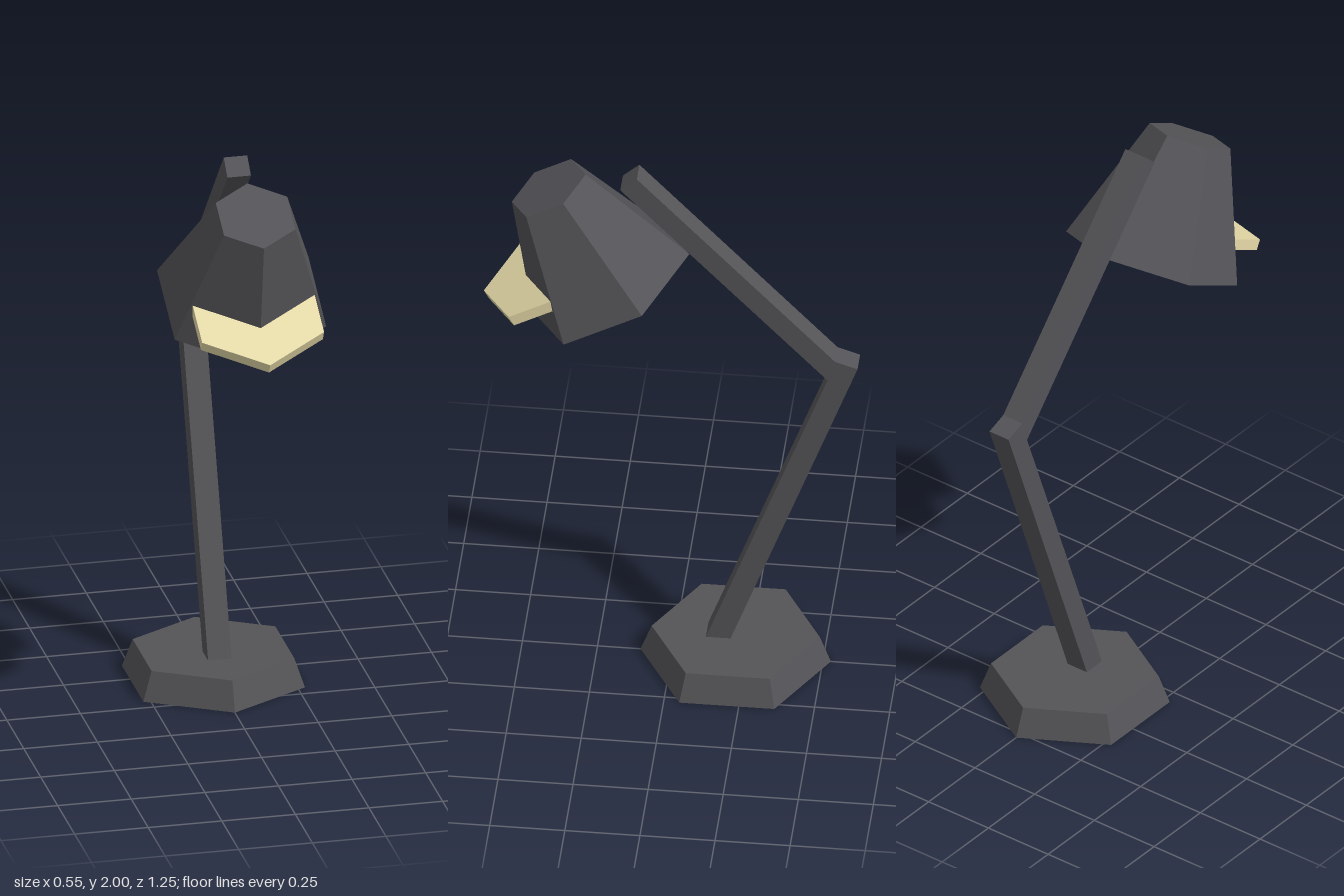
import * as THREE from 'three';

const darkMetal = new THREE.MeshStandardMaterial({ name: 'darkMetal', color: 0x545458, flatShading: true });
const paleLight = new THREE.MeshStandardMaterial({ name: 'paleLight', color: 0xe6daa8, flatShading: true });

const SHADE_TILT = 0.5;

// Six-sided frustum with corners pointing along z
function hexagon(name, topRadius, bottomRadius, height, material) {
  const mesh = new THREE.Mesh(new THREE.CylinderGeometry(topRadius, bottomRadius, height, 6), material);
  mesh.name = name;
  return mesh;
}

export function createModel() {
  const lamp = new THREE.Group();
  lamp.name = 'deskLamp';

  // Weighted foot
  const base = hexagon('base', 0.28, 0.317, 0.1, darkMetal);
  base.position.set(0, 0.05, -0.21);
  lamp.add(base);

  // Bent arm: side profile as (z, y), extruded across x
  const profile = [
    [-0.115, 0.1], [-0.52, 1.21], [0.17, 1.95], [0.115, 2.0],
    [-0.545, 1.29], [-0.62, 1.265], [-0.197, 0.1],
  ].map(([z, y]) => new THREE.Vector2(-z, y));
  const armGeometry = new THREE.ExtrudeGeometry(new THREE.Shape(profile), { depth: 0.08, bevelEnabled: false });
  armGeometry.translate(0, 0, -0.04).rotateY(Math.PI / 2);
  const arm = new THREE.Mesh(armGeometry, darkMetal);
  arm.name = 'arm';
  lamp.add(arm);

  // Tilted head: shade with a light plate reaching out of its front
  const head = new THREE.Group();
  head.name = 'head';
  head.position.set(0, 1.5275, 0.205);
  head.rotation.x = SHADE_TILT;
  const shade = hexagon('shade', 0.14, 0.297, 0.433, darkMetal);
  shade.position.y = 0.2165;
  const plate = hexagon('lightPlate', 0.239, 0.239, 0.038, paleLight);
  plate.position.set(0, 0.125, 0.165);
  head.add(shade, plate);
  lamp.add(head);

  return lamp;
}
